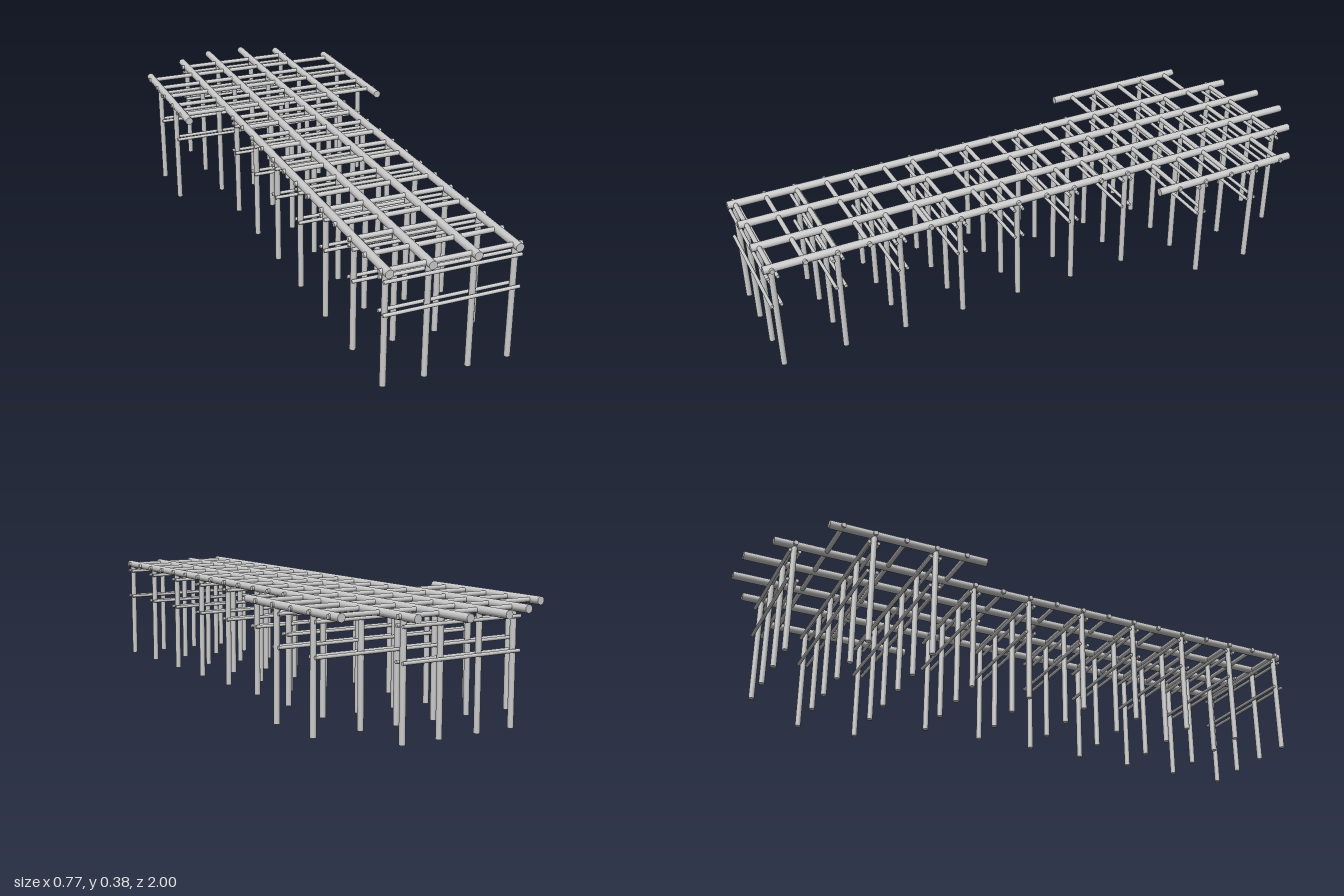
import * as THREE from 'three';

export function createModel() {
  const model = new THREE.Group();
  model.name = 'pier frame';
  const material = new THREE.MeshStandardMaterial({ color: 0xcccccc });

  // Round pole between two points
  function pole(name, a, b, radius) {
    const start = new THREE.Vector3(...a);
    const end = new THREE.Vector3(...b);
    const dir = end.clone().sub(start);
    const mesh = new THREE.Mesh(new THREE.CylinderGeometry(radius, radius, dir.length(), 12), material);
    mesh.name = name;
    mesh.position.copy(start).add(end).multiplyScalar(0.5);
    mesh.quaternion.setFromUnitVectors(new THREE.Vector3(0, 1, 0), dir.normalize());
    model.add(mesh);
  }

  const deckY = 0.366;
  const rowCount = 10;
  const firstZ = 0.975;
  const spacing = 0.205;
  const narrowX = [-0.202, -0.071, 0.07, 0.201];
  const wideX = [-0.368, ...narrowX, 0.367];

  for (let i = 0; i < rowCount; i++) {
    const z = firstZ - i * spacing;
    const wideRow = i === 7 || i === 8;

    // Upright posts
    for (const x of wideRow ? wideX : narrowX) pole('post', [x, 0, z], [x, 0.362, z], 0.0098);

    // Paired rails clamping the posts at two heights
    const railEnd = wideRow ? 0.37 : 0.215;
    for (const y of [0.236, 0.339])
      for (const side of [-1, 1])
        pole('clampRail', [-railEnd, y, z + side * 0.0155], [railEnd, y, z + side * 0.0155], 0.0057);

    // Cross beam over the posts
    const beamEnd = wideRow ? 0.385 : 0.222;
    pole('crossBeam', [-beamEnd, deckY, z], [beamEnd, deckY, z], 0.008);

    // Intermediate cross beam halfway to the next row
    if (i < rowCount - 1) {
      const midZ = z - spacing / 2;
      const midEnd = i >= 6 ? 0.385 : 0.222;
      pole('middleCrossBeam', [-midEnd, deckY, midZ], [midEnd, deckY, midZ], 0.008);
    }
  }

  // Long deck beams: [x, front z, back z]
  const longBeams = [
    [0.0705, 1, -1],
    [0.2015, 1, -0.937],
    [0.3675, -0.285, -0.81],
  ];
  for (const [x, front, back] of longBeams)
    for (const side of [-1, 1])
      pole('longBeam', [side * x, deckY, front], [side * x, deckY, back], 0.0133);

  return model;
}
